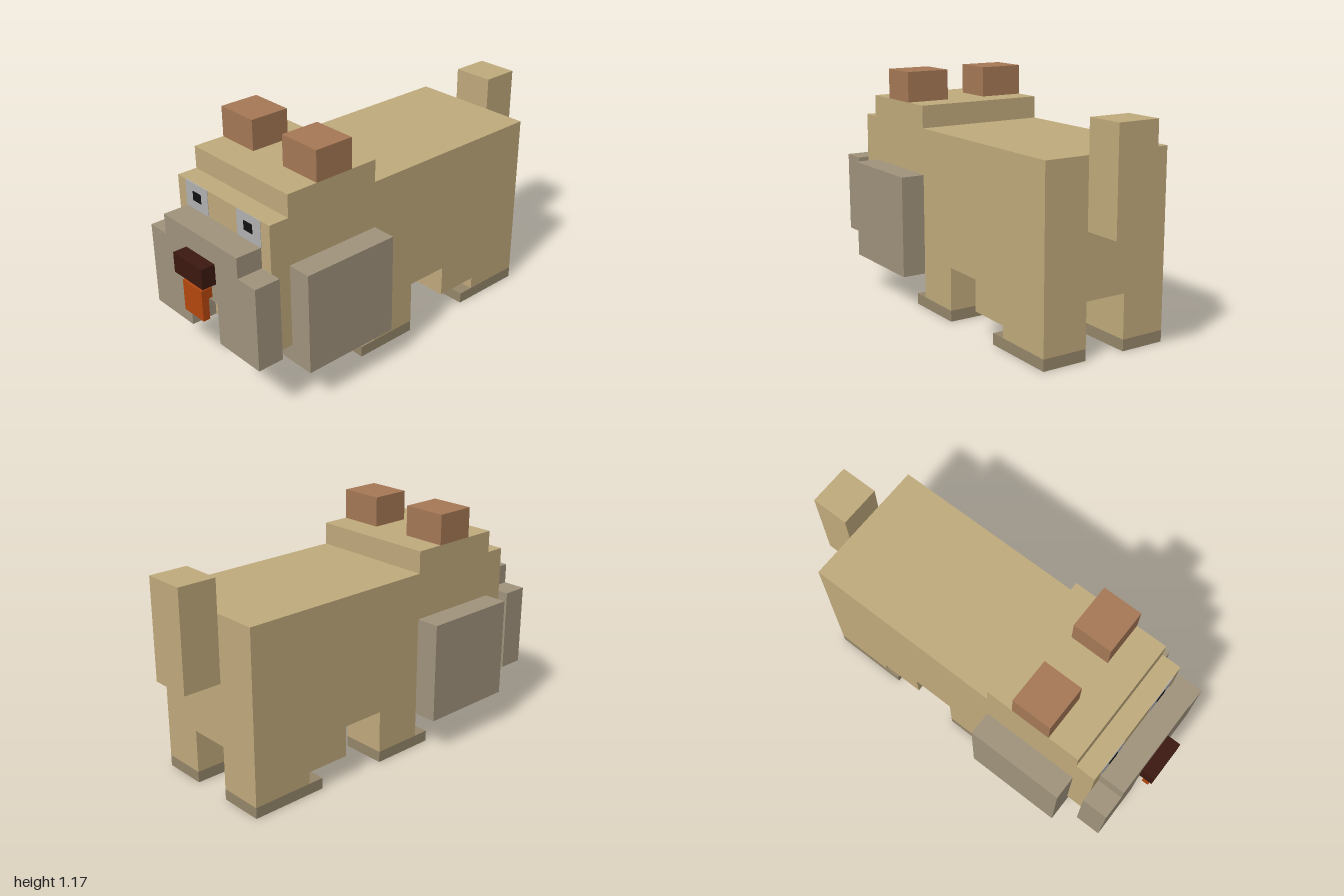
import * as THREE from 'three';

const material = (color) => new THREE.MeshStandardMaterial({ color, flatShading: true });

export function createModel() {
  const model = new THREE.Group();
  const fur = material(0xc0aa7c);
  const paw = material(0x95866a);
  const muzzleFur = material(0xa0937c);
  const earFur = material(0xa57855);
  const noseSkin = material(0x3b1810);
  const tongueSkin = material(0xb5470e);
  const eyeWhite = material(0xb0b0b0);
  const black = material(0x111111);

  const add = (name, geometry, mat) => {
    const mesh = new THREE.Mesh(geometry, mat);
    mesh.name = name;
    model.add(mesh);
  };

  // Box given by its extents along each axis
  const box = (name, mat, [x0, x1], [y0, y1], [z0, z1]) => {
    const g = new THREE.BoxGeometry(Math.abs(x1 - x0), y1 - y0, z1 - z0);
    g.translate((x0 + x1) / 2, (y0 + y1) / 2, (z0 + z1) / 2);
    add(name, g, mat);
  };

  const extrude = (points, depth) => new THREE.ExtrudeGeometry(
    new THREE.Shape(points.map(([a, b]) => new THREE.Vector2(a, b))),
    { depth, bevelEnabled: false });

  // Front outline of (x, y) points, extruded from z0 to z1
  const frontProfile = (name, mat, points, z0, z1) =>
    add(name, extrude(points, z1 - z0).translate(0, 0, z0), mat);

  // Side outline of (z, y) points, extruded across width about x
  const sideProfile = (name, mat, points, x, width) =>
    add(name, extrude(points, width).rotateY(-Math.PI / 2).translate(x + width / 2, 0, 0), mat);

  // Body and head with the raised brow
  sideProfile('body', fur, [
    [-0.81, 0.27], [0.8, 0.27], [0.8, 0.91], [0.7, 0.91],
    [0.7, 1.02], [0.2, 1.02], [0.2, 0.91], [-0.81, 0.91],
  ], 0, 0.66);
  box('tail', fur, [-0.105, 0.105], [0.58, 1.07], [-1, -0.81]);

  // Muzzle with the mouth notch, nose and hanging tongue
  frontProfile('muzzle', muzzleFur, [
    [-0.385, 0.27], [-0.105, 0.27], [-0.105, 0.48], [0.105, 0.48], [0.105, 0.27], [0.385, 0.27],
    [0.385, 0.68], [0.267, 0.68], [0.267, 0.78], [-0.267, 0.78], [-0.267, 0.68], [-0.385, 0.68],
  ], 0.8, 0.93);
  box('nose', noseSkin, [-0.105, 0.105], [0.58, 0.68], [0.93, 1]);
  sideProfile('tongue', tongueSkin, [
    [0.93, 0.5], [0.95, 0.5], [0.95, 0.395], [0.985, 0.395], [0.985, 0.55], [0.93, 0.55],
  ], 0, 0.14);

  for (const [side, s] of [['left', 1], ['right', -1]]) {
    const legX = [s * 0.105, s * 0.33];

    // Face
    box(side + 'Ear', earFur, legX, [1.02, 1.17], [0.34, 0.54]);
    box(side + 'Eye', eyeWhite, [s * 0.105, s * 0.27], [0.78, 0.91], [0.795, 0.802]);
    box(side + 'Pupil', black, [s * 0.156, s * 0.214], [0.825, 0.87], [0.797, 0.805]);

    // Jowl wrapping under the chest
    frontProfile(side + 'Jowl', muzzleFur, [
      [0.105, 0.18], [0.45, 0.18], [0.45, 0.68], [0.33, 0.68], [0.33, 0.27], [0.105, 0.27],
    ].map(([x, y]) => [s * x, y]), 0.2, 0.7);

    // Legs and paws
    box(side + 'FrontLeg', fur, legX, [0.055, 0.27], [-0.05, 0.2]);
    box(side + 'FrontPaw', paw, legX, [0, 0.055], [-0.05, 0.28]);
    sideProfile(side + 'HindLeg', fur, [
      [-0.81, 0.055], [-0.5, 0.055], [-0.5, 0.115], [-0.27, 0.115], [-0.27, 0.27], [-0.81, 0.27],
    ], s * 0.2175, 0.225);
    box(side + 'HindPaw', paw, legX, [0, 0.055], [-0.81, -0.42]);
  }

  return model;
}
